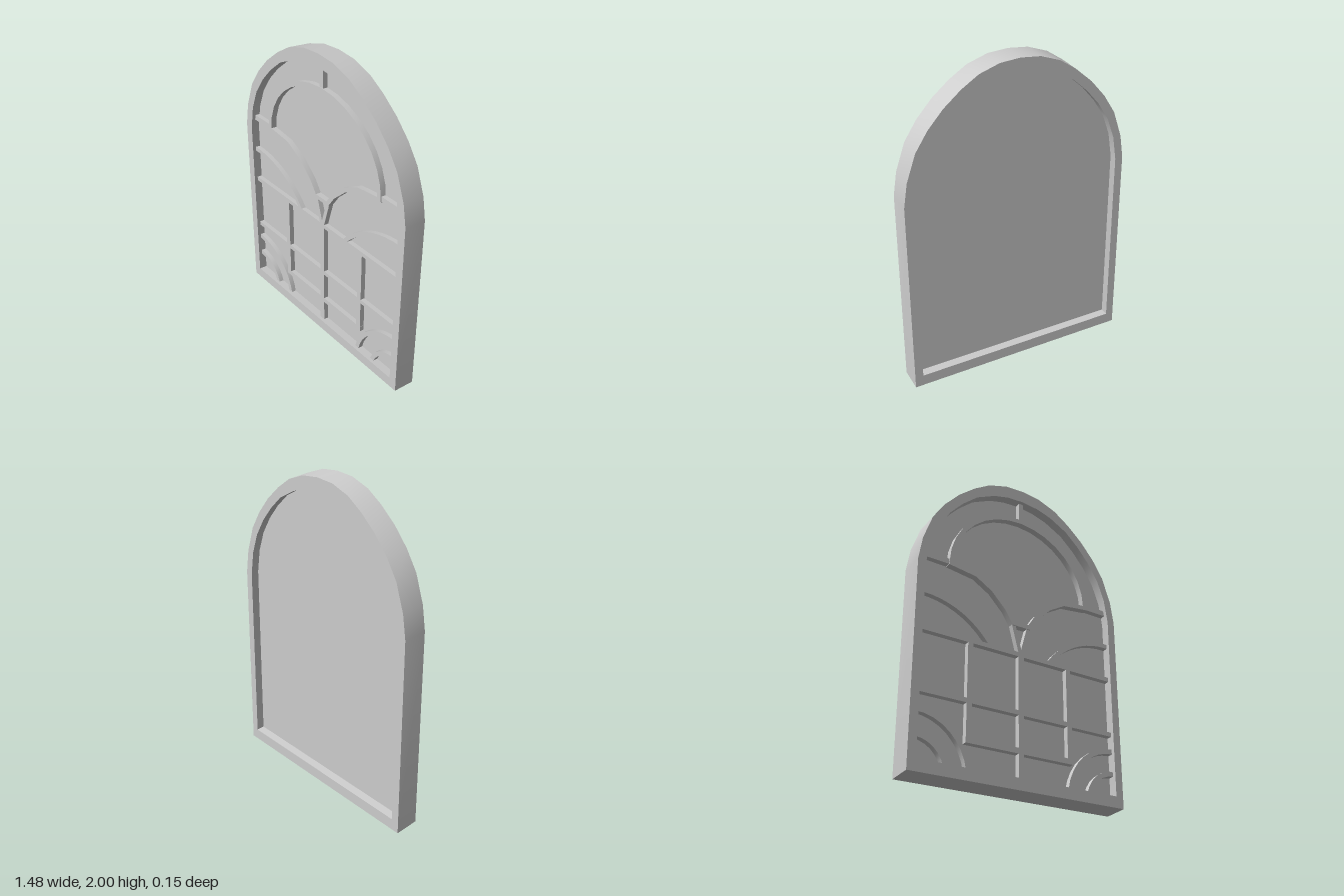
import * as THREE from 'three';
import { toCreasedNormals } from 'three/addons/utils/BufferGeometryUtils.js';

const V = (x, y) => new THREE.Vector2(x, y);
const SLANT = 0.12; // the window leans very slightly along its depth

export function createModel() {
  const group = new THREE.Group();
  group.name = 'archedWindow';
  const material = new THREE.MeshStandardMaterial({ color: 0xcccccc });

  // Extrude a shape from z0 to z1, apply the slant and smooth the gentle curves
  function slab(name, shape, z0, z1) {
    const geo = new THREE.ExtrudeGeometry(shape, { depth: z1 - z0, bevelEnabled: false });
    geo.translate(0, 0, z0);
    geo.applyMatrix4(new THREE.Matrix4().set(1, 0, 0, 0, 0, 1, SLANT, 0, 0, 0, 1, 0, 0, 0, 0, 1));
    const mesh = new THREE.Mesh(toCreasedNormals(geo, 0.5), material);
    mesh.name = name;
    group.add(mesh);
  }

  // Offset a polyline sideways with mitred corners
  function offset(pts, d, closed) {
    const n = pts.length;
    return pts.map((p, i) => {
      const a = closed || i > 0 ? pts[(i + n - 1) % n] : null;
      const b = closed || i < n - 1 ? pts[(i + 1) % n] : null;
      const t1 = (a ? p.clone().sub(a) : b.clone().sub(p)).normalize();
      const t2 = (b ? b.clone().sub(p) : p.clone().sub(a)).normalize();
      const m = V(-t1.y - t2.y, t1.x + t2.x).normalize();
      return p.clone().addScaledVector(m, d / Math.max(0.4, m.dot(V(-t1.y, t1.x))));
    });
  }

  // Glazing bar of constant width along a polyline
  const BAR_BACK = 0.01, BAR_FRONT = 0.05;
  function bar(name, pts, width = 0.032, front = BAR_FRONT) {
    const left = offset(pts, width / 2), right = offset(pts, -width / 2);
    slab(name, new THREE.Shape([...left, ...right.reverse()]), BAR_BACK, front);
  }

  function arc(cx, cy, r, a0, a1, n) {
    return Array.from({ length: n + 1 }, (_, i) => {
      const a = a0 + ((a1 - a0) * i) / n;
      return V(cx + r * Math.cos(a), cy + r * Math.sin(a));
    });
  }

  // Mirror a half outline (bottom corner up to the crown) into a full one
  const mirrored = (half) => [
    ...half.map(([x, y]) => V(x, y)),
    ...half.slice(0, -1).reverse().map(([x, y]) => V(-x, y)),
  ];
  const outer = mirrored([[0.738, 0.01], [0.738, 1.245], [0.714, 1.39], [0.655, 1.555], [0.577, 1.672],
    [0.48, 1.778], [0.37, 1.868], [0.26, 1.937], [0.13, 1.98], [0, 1.991]]);
  const inner = mirrored([[0.685, 0.08], [0.685, 1.24], [0.66, 1.39], [0.61, 1.52], [0.535, 1.632],
    [0.45, 1.725], [0.35, 1.81], [0.22, 1.873], [0.117, 1.9], [0, 1.91]]);

  // Frame and recessed pane
  const frame = new THREE.Shape(outer);
  frame.holes.push(new THREE.Path(inner));
  slab('frame', frame, -0.073, 0.073);
  slab('pane', new THREE.Shape(offset(inner, -0.01, true)), -0.022, 0.018);

  // Fan light rim: round top, two concave sweeps down to a narrow foot
  const sweep = [[0.33, 1.278], [0.212, 1.212], [0.112, 1.116], [0.058, 1.035]];
  const fan = [
    ...Array.from({ length: 17 }, (_, i) => {
      const a = (Math.PI * i) / 16;
      return V(0.507 * Math.cos(a), 1.3 + 0.47 * Math.sin(a));
    }),
    ...sweep.map(([x, y]) => V(-x, y)),
    ...sweep.slice().reverse().map(([x, y]) => V(x, y)),
  ];
  const rim = new THREE.Shape(offset(fan, -0.014, true));
  rim.holes.push(new THREE.Path(offset(fan, 0.014, true)));
  slab('fanRim', rim, BAR_BACK, 0.056);

  // Straight bars on the centre line and across
  bar('crownBar', [V(0, 1.772), V(0, 1.915)]);
  bar('centreBar', [V(0, 0.075), V(0, 0.86)], 0.038);
  bar('upperCrossBar', [V(-0.69, 0.842), V(0.69, 0.842)], 0.028);
  bar('middleCrossBar', [V(-0.69, 0.475), V(0.69, 0.475)], 0.028);
  bar('lowerCrossBar', [V(-0.375, 0.247), V(0.375, 0.247)], 0.034);

  // Bars repeated on both sides
  for (const s of [-1, 1]) {
    const side = s > 0 ? 'left' : 'right';
    const flip = (pts) => pts.map((p) => V(s * p.x, p.y));
    bar(side + 'UprightBar', flip([V(0.356, 0.235), V(0.356, 0.85)]), 0.035);
    bar(side + 'SpringBar', flip([V(0.505, 1.31), V(0.69, 1.31)]), 0.035);
    bar(side + 'FootBar', flip([V(0.056, 1.03), V(0.006, 0.85)]), 0.026);
    bar(side + 'ShoulderArc', flip(arc(0.67, 0.5, 0.573, Math.PI / 2 - 0.03, Math.PI - 0.648, 9)), 0.028);
    bar(side + 'CornerArcLarge', flip(arc(0.69, 0.02, 0.344, Math.PI / 2, Math.PI - 0.16, 8)), 0.03);
    bar(side + 'CornerArcSmall', flip(arc(0.69, 0.02, 0.204, Math.PI / 2, Math.PI - 0.27, 6)), 0.03);
  }
  return group;
}
